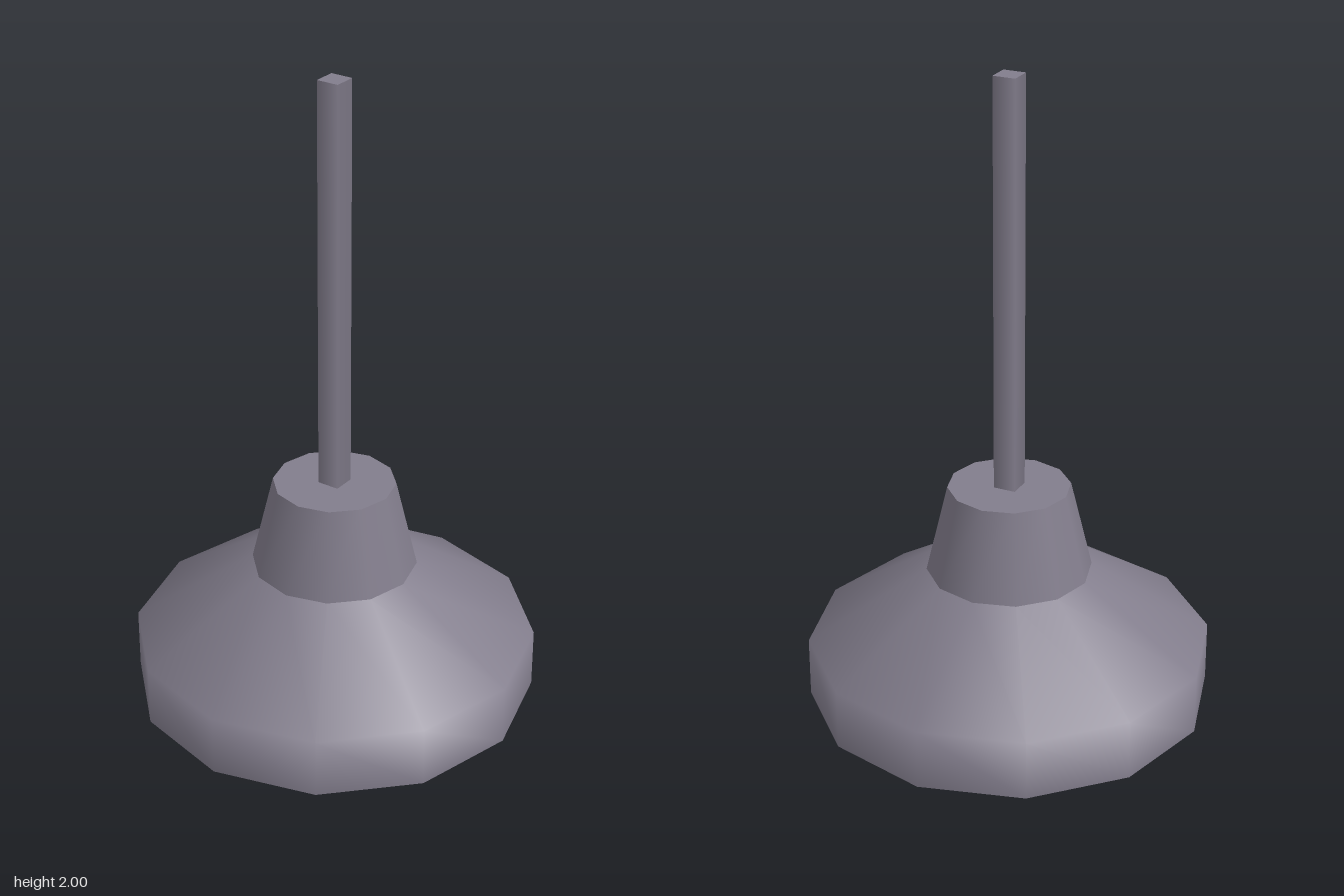
import * as THREE from 'three';

const SIDES = 12;

export function createModel() {
  const lamp = new THREE.Group();
  lamp.name = 'pendantLamp';

  const metal = new THREE.MeshStandardMaterial({ color: 0x827d8c, side: THREE.DoubleSide });
  metal.name = 'greyMetal';

  const add = (name, geometry, y = 0) => {
    const mesh = new THREE.Mesh(geometry, metal);
    mesh.name = name;
    mesh.position.y = y;
    lamp.add(mesh);
    return mesh;
  };

  // Open shade: upright rim running smoothly into the sloping cone
  const profile = [[0.63, 0], [0.63, 0.19], [0.257, 0.43]].map(([r, y]) => new THREE.Vector2(r, y));
  add('shade', new THREE.LatheGeometry(profile, SIDES));

  // Tapered neck, open below, with a flat lid
  add('neck', new THREE.CylinderGeometry(0.19, 0.257, 0.28, SIDES, 1, true), 0.57);
  const lid = new THREE.CircleGeometry(0.19, SIDES);
  lid.rotateX(-Math.PI / 2);
  add('neckLid', lid, 0.71);

  // Square hanging rod with softened sides
  const rod = new THREE.CylinderGeometry(0.05, 0.05, 1.29, 4);
  rod.rotateY(Math.PI / 4);
  add('rod', rod, 1.355);

  return lamp;
}
